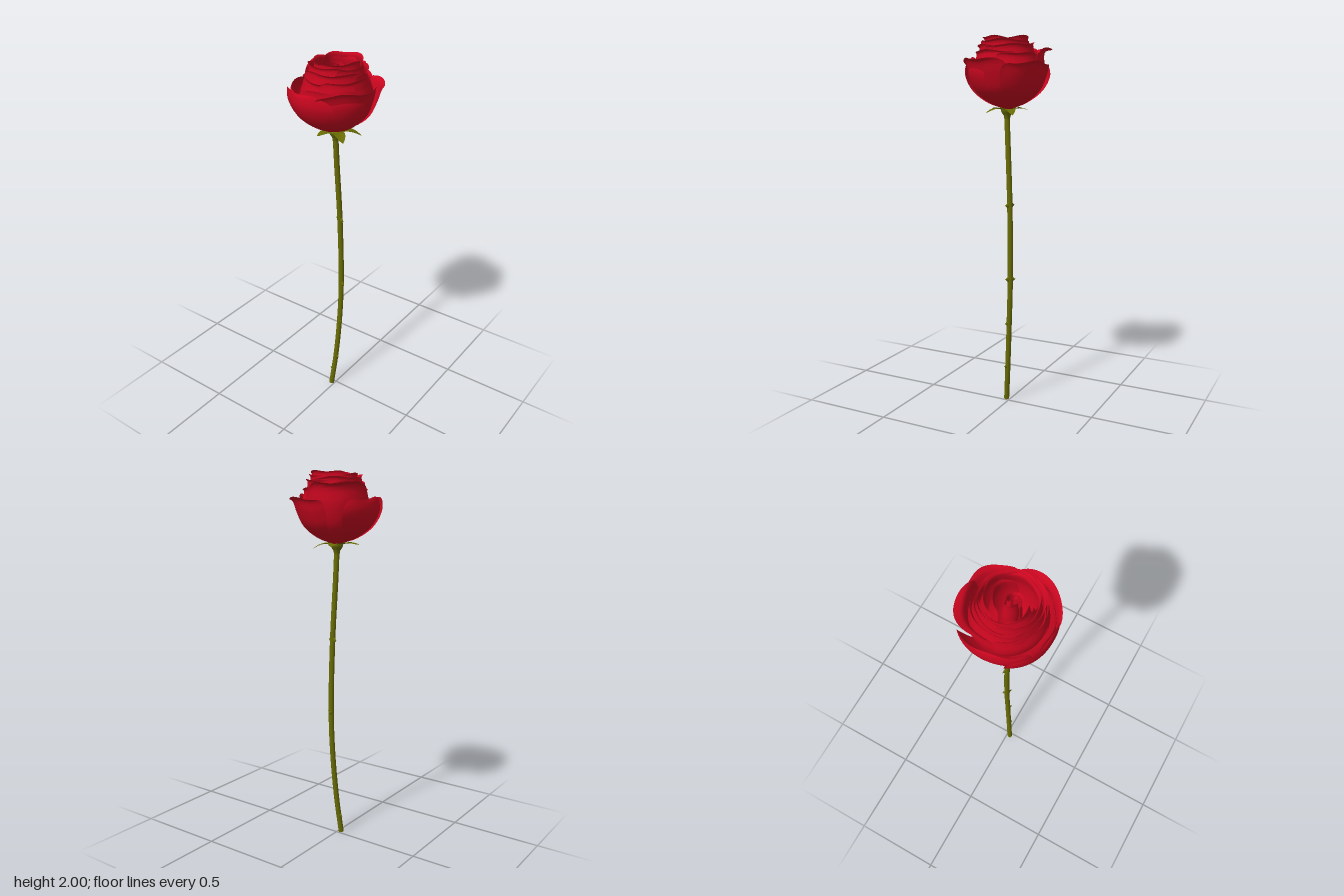
import * as THREE from 'three';

const red = new THREE.MeshStandardMaterial({ color: 0xc8061f, side: THREE.DoubleSide });
red.name = 'petal red';
const green = new THREE.MeshStandardMaterial({ color: 0x696c04, side: THREE.DoubleSide });
green.name = 'stem green';

// Smooth open sheet: place(u, v, target) with u in -1..1 and v in 0..1
function sheet(place, nu, nv) {
  const pos = [], index = [], p = new THREE.Vector3();
  for (let j = 0; j <= nv; j++) {
    for (let i = 0; i <= nu; i++) {
      place((i / nu) * 2 - 1, j / nv, p);
      pos.push(p.x, p.y, p.z);
      if (i < nu && j < nv) {
        const a = j * (nu + 1) + i, b = a + nu + 1;
        index.push(a, b, a + 1, b, b + 1, a + 1);
      }
    }
  }
  const g = new THREE.BufferGeometry();
  g.setAttribute('position', new THREE.Float32BufferAttribute(pos, 3));
  g.setIndex(index);
  g.computeVertexNormals();
  return g;
}

function add(group, name, geometry, material) {
  const mesh = new THREE.Mesh(geometry, material);
  mesh.name = name;
  group.add(mesh);
  return mesh;
}

// Cupped petal: az = direction (degrees from +x towards +z), half = half width in degrees,
// R = belly radius, rim = radius near the top, lip = outward roll of the edge
function petal({ az, half, R, rim, top, lip = 0.01, round = 0.25, wave = 0.004, cx = 0, cz = 0 }) {
  const belly = 1.73 + (top - 1.73) * 0.5;
  const profile = new THREE.CatmullRomCurve3([
    [0.015, 1.63], [R * 0.45, 1.658], [R * 0.82, 1.72], [R, belly],
    [rim, top - 0.015], [rim + lip, top],
  ].map(([r, y]) => new THREE.Vector3(r, y, 0)));
  const q = new THREE.Vector3();
  return sheet((u, v, p) => {
    const t = v * (1 - round * Math.pow(Math.abs(u), 2.6));
    profile.getPoint(t, q);
    const width = half * (0.3 + 0.7 * Math.sin(Math.PI * (0.12 + 0.55 * v)));
    const a = THREE.MathUtils.degToRad(az + u * width);
    const r = q.x + 0.01 * u * v + wave * v * v * Math.sin(u * 5 + az);
    const y = q.y + wave * v * v * Math.sin(u * 6 + az * 2);
    p.set(cx * v + r * Math.cos(a), y, cz * v + r * Math.sin(a));
  }, 24, 18);
}

export function createModel() {
  const rose = new THREE.Group();
  rose.name = 'rose';

  // Gently bowed stem
  const path = new THREE.CatmullRomCurve3([
    [-0.018, 0, 0.02], [0.001, 0.2, 0.003], [0.016, 0.46, -0.013], [0.021, 0.72, -0.022],
    [0.015, 1.12, -0.016], [0.006, 1.45, 0], [0.003, 1.62, 0.008],
  ].map(a => new THREE.Vector3(...a)));
  add(rose, 'stem', new THREE.TubeGeometry(path, 48, 0.0145, 12), green);
  const cut = add(rose, 'stemEnd', new THREE.CircleGeometry(0.0145, 12), green);
  cut.rotation.x = Math.PI / 2;
  cut.position.set(-0.018, 0.001, 0.02);

  // Thorns with tall bases: height, direction in degrees, length
  const thorns = new THREE.Group();
  thorns.name = 'thorns';
  rose.add(thorns);
  for (const [y, deg, len] of [
    [1.12, 20, 0.026], [1.12, 200, 0.026], [0.715, 25, 0.026], [0.715, 250, 0.02],
    [0.46, 30, 0.02], [0.205, 20, 0.019], [0.1, 190, 0.019],
  ]) {
    let lo = 0, hi = 1;
    for (let i = 0; i < 20; i++) {
      const mid = (lo + hi) / 2;
      if (path.getPoint(mid).y < y) lo = mid; else hi = mid;
    }
    const g = new THREE.ConeGeometry(0.009, len, 8);
    g.translate(0, len / 2, 0);
    g.rotateZ(-Math.PI / 2);
    g.scale(1, len * 90, 1);
    const thorn = add(thorns, 'thorn', g, green);
    const a = THREE.MathUtils.degToRad(deg);
    thorn.position.copy(path.getPoint(lo)).add(new THREE.Vector3(Math.cos(a) * 0.009, 0, Math.sin(a) * 0.009));
    thorn.rotation.y = -a;
  }

  // Small flared calyx below the bloom
  const calyx = add(rose, 'calyx', new THREE.LatheGeometry([
    [0.0145, 1.575], [0.018, 1.595], [0.027, 1.608], [0.033, 1.62], [0.034, 1.63], [0, 1.632],
  ].map(a => new THREE.Vector2(...a)), 20), green);
  calyx.position.set(0.003, 0, 0.006);

  // Five pointed sepals, spread almost flat
  const sepals = new THREE.Group();
  sepals.name = 'sepals';
  rose.add(sepals);
  [[182, 0.145, 0.008], [250, 0.115, 0], [322, 0.13, -0.022], [38, 0.125, -0.014], [108, 0.115, 0.004]]
    .forEach(([deg, len, tip]) => {
      const g = sheet((u, v, p) => {
        const w = 0.04 * Math.pow(1 - v, 0.8) * (0.65 + 1.1 * v);
        p.set(0.015 + v * (len - 0.015),
          1.622 + 0.012 * Math.sin(v * Math.PI) + tip * v * v + 0.006 * u * u * (1 - v), u * w);
      }, 6, 10);
      const sepal = add(sepals, 'sepal', g, green);
      sepal.rotation.y = -THREE.MathUtils.degToRad(deg);
      sepal.position.set(0.003, 0, 0.004);
    });

  // Broad outer petals, wide at the belly, some with rolled lips
  const bloom = new THREE.Group();
  bloom.name = 'bloom';
  rose.add(bloom);
  const outer = [
    { az: -62, half: 48, R: 0.205, rim: 0.222, top: 1.865, lip: 0.018 },
    { az: 28, half: 56, R: 0.2, rim: 0.218, top: 1.885, lip: 0.018 },
    { az: 62, half: 52, R: 0.21, rim: 0.205, top: 1.89, lip: 0 },
    { az: 106, half: 50, R: 0.228, rim: 0.228, top: 1.865, lip: -0.006 },
    { az: 174, half: 54, R: 0.222, rim: 0.22, top: 1.865, lip: -0.006 },
    { az: 228, half: 60, R: 0.186, rim: 0.188, top: 1.94, lip: 0.04 },
  ];
  outer.forEach(o => add(bloom, 'outerPetal', petal({ ...o, wave: 0.006 }), red));

  // Rings of upright inner petals: count, belly radius, rim radius, top, half width, first direction
  const rings = [
    [4, 0.176, 0.156, 1.925, 66, 20],
    [3, 0.162, 0.142, 1.955, 80, 65],
    [3, 0.15, 0.128, 1.98, 80, 100],
    [3, 0.138, 0.112, 1.998, 76, 30],
  ];
  for (const [n, R, rim, top, half, first] of rings) {
    for (let i = 0; i < n; i++) {
      add(bloom, 'innerPetal', petal({
        az: first + (i * 360) / n, half, R, rim, top: top - 0.012 * (i % 2),
        lip: 0.008, round: 0.16, cx: 0.012, cz: 0.002,
      }), red);
    }
  }

  // Loose half-turned petals around the heart
  [[270, 80, 0.1, 0.085, 1.985], [120, 60, 0.092, 0.078, 1.955]]
    .forEach(([az, half, R, rim, top]) => add(bloom, 'heartPetal',
      petal({ az, half, R, rim, top, lip: 0.005, cx: 0.014, cz: 0.012 }), red));

  // Tightly wrapped bud in the middle
  for (let i = 0; i < 5; i++) {
    add(bloom, 'budPetal', petal({
      az: i * 137, half: 110, R: 0.046 - i * 0.008, rim: 0.036 - i * 0.007, top: 1.965 + i * 0.004,
      lip: 0.003, round: 0.14, wave: 0.003, cx: 0.018, cz: 0.012,
    }), red);
  }

  // Glimpse of the receptacle beside the bud
  const receptacle = add(bloom, 'receptacle', new THREE.CircleGeometry(0.016, 3), green);
  receptacle.rotation.x = -Math.PI / 2;
  receptacle.position.set(-0.034, 1.69, 0.022);
  return rose;
}
